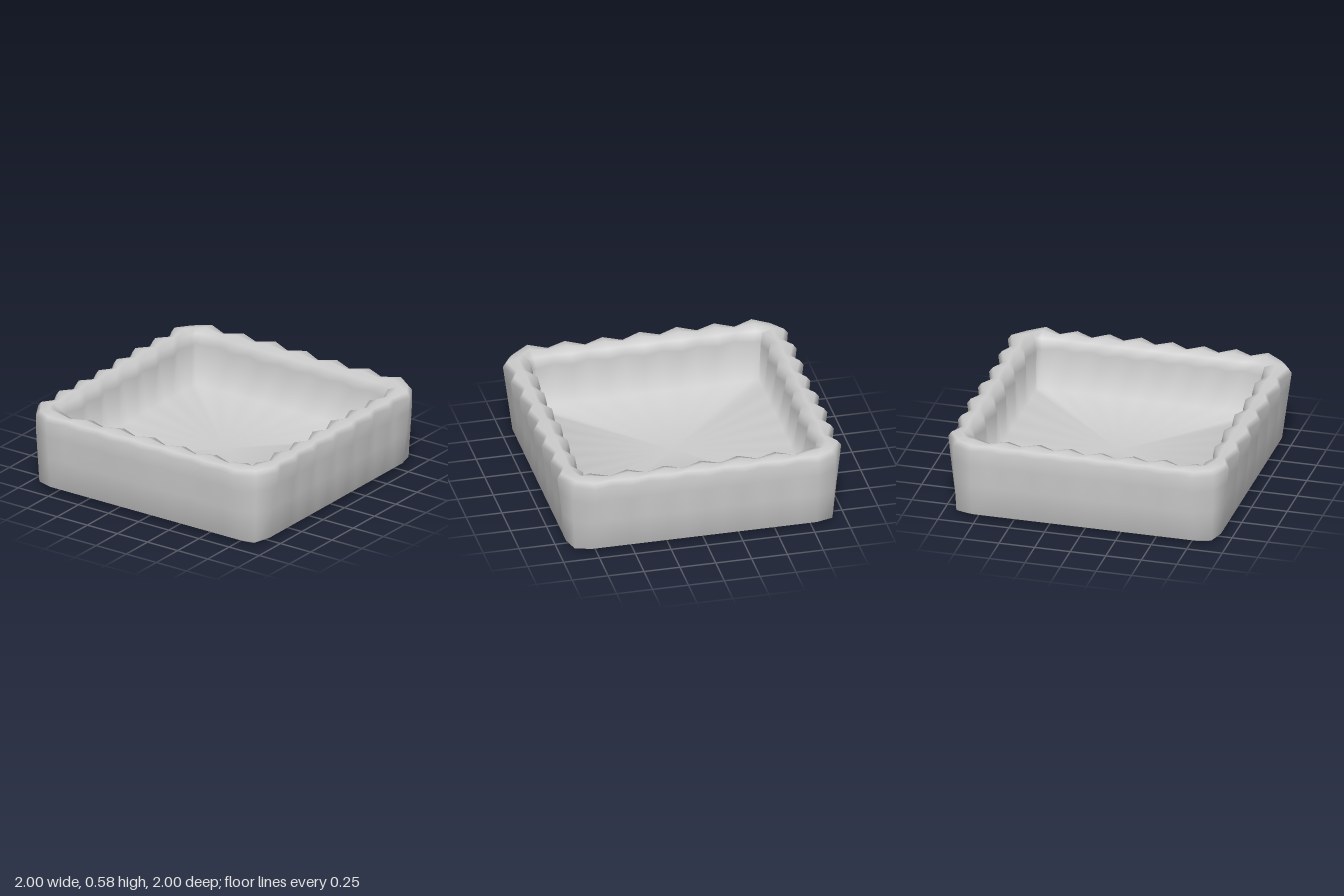
import * as THREE from 'three';

// Cross-section from base centre, up the outside, over the rim, down to the floor centre.
// r: half width, y: height, wave: flute depth (signed), lift: crest height, corner: how square the corner is
const PROFILE = [
  { r: 0, y: 0.004, wave: 0, lift: 0, corner: 1 },
  { r: 0.86, y: 0.004, wave: 0, lift: 0, corner: 0.985 },
  { r: 0.93, y: 0.04, wave: 0, lift: 0, corner: 0.965 },
  { r: 0.95, y: 0.26, wave: 0.008, lift: 0, corner: 0.955 },
  { r: 0.962, y: 0.42, wave: 0.016, lift: 0, corner: 0.95 },
  { r: 0.968, y: 0.53, wave: 0.024, lift: 0.005, corner: 0.945 },
  { r: 0.945, y: 0.562, wave: 0.022, lift: 0.008, corner: 0.945 },
  { r: 0.885, y: 0.573, wave: 0, lift: 0.01, corner: 0.96 },
  { r: 0.83, y: 0.55, wave: -0.018, lift: 0.008, corner: 0.98 },
  { r: 0.815, y: 0.48, wave: -0.02, lift: 0, corner: 0.99 },
  { r: 0.79, y: 0.19, wave: 0, lift: 0, corner: 1 },
  { r: 0, y: 0.19, wave: 0, lift: 0, corner: 1 },
];
const STEPS = [14, 12, 14, 12];  // crests and valleys along the left, front, right and back
const SPAN = 0.78;               // half length of the fluted part of a side

// One ring of the shell: four fluted sides, each followed by a corner point
function ringPoints({ r, y, wave, lift, corner }) {
  const points = [];
  STEPS.forEach((steps, side) => {
    const cos = Math.round(Math.cos(side * Math.PI / 2));
    const sin = Math.round(Math.sin(side * Math.PI / 2));
    const add = (out, along, h) => points.push([out * cos - along * sin, h, out * sin + along * cos]);
    for (let i = 0; i <= steps; i++) {
      const crest = i % 2 === 0 ? 1 : -1;
      const vary = 1 + 0.25 * Math.sin(i * 2.3 + side * 1.7);
      const along = (i / steps * 2 - 1) * Math.min(SPAN, r * 0.93);
      add(r + wave * crest * vary, along, y + lift * crest * vary);
    }
    add(r * corner, r * corner, y);
  });
  return points;
}

// Joins neighbouring rings; the first and last ring are single centre points
function shellGeometry() {
  const rings = PROFILE.map(ringPoints);
  const n = rings[0].length;
  const index = [];
  for (let i = 0; i < rings.length - 1; i++) {
    for (let j = 0; j < n; j++) {
      const a = i * n + j, c = i * n + (j + 1) % n;
      const b = a + n, d = c + n;
      if (PROFILE[i].r > 0) index.push(a, b, c);
      if (PROFILE[i + 1].r > 0) index.push(c, b, d);
    }
  }
  const geometry = new THREE.BufferGeometry();
  geometry.setAttribute('position', new THREE.Float32BufferAttribute(rings.flat(2), 3));
  geometry.setIndex(index);
  geometry.computeVertexNormals();
  return geometry;
}

export function createModel() {
  const group = new THREE.Group();
  group.name = 'squareTartCase';
  const material = new THREE.MeshStandardMaterial({ color: 0xcccccc });
  const shell = new THREE.Mesh(shellGeometry(), material);
  shell.name = 'flutedShell';
  group.add(shell);
  return group;
}
